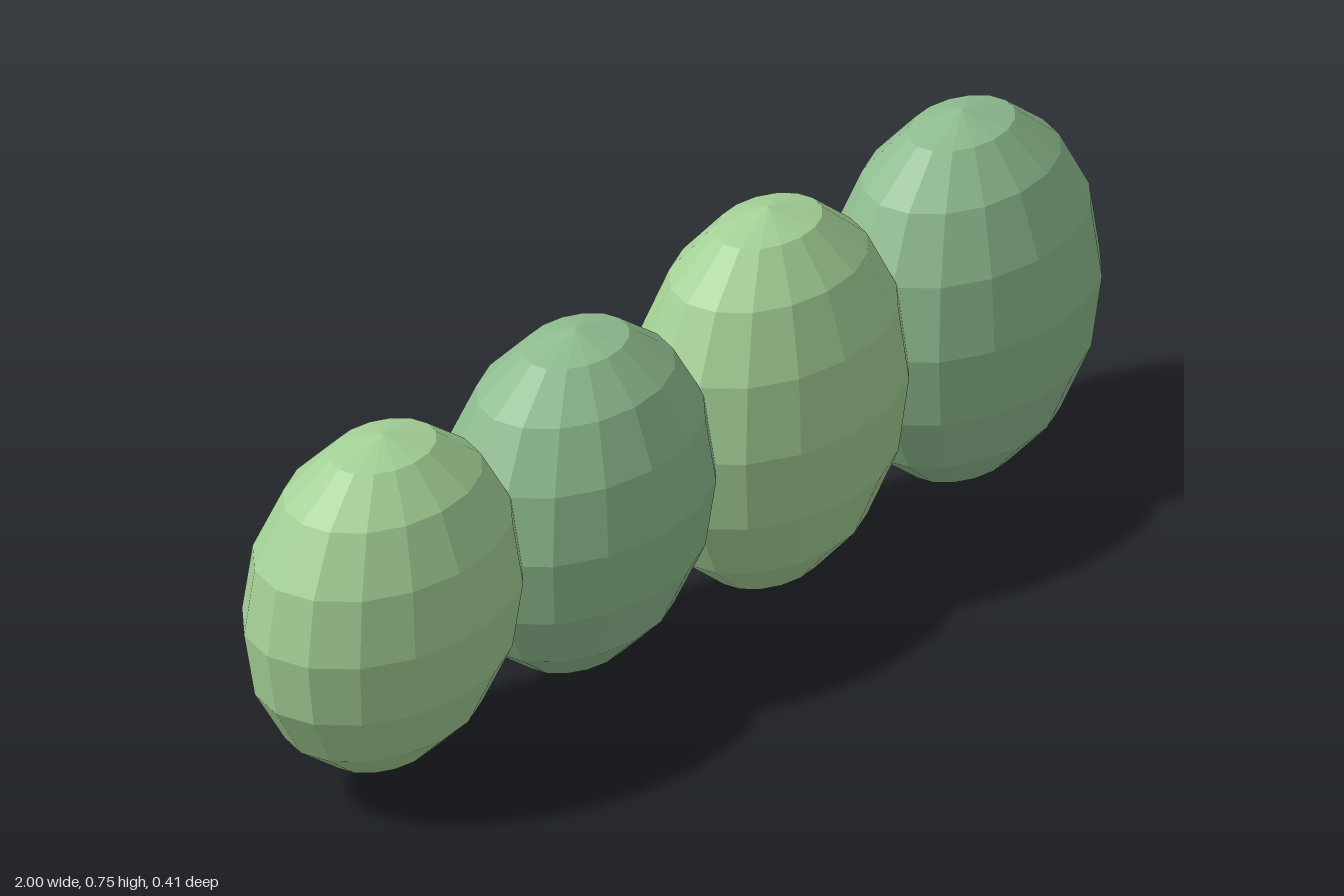
import * as THREE from 'three';

export function createModel() {
  const group = new THREE.Group();
  group.name = 'segmentedBody';

  const light = new THREE.MeshStandardMaterial({ color: 0xa4d096, flatShading: true });
  const dark = new THREE.MeshStandardMaterial({ color: 0x8fbc8f, flatShading: true });

  // One faceted ball, stretched into each overlapping body segment
  const ball = new THREE.SphereGeometry(1, 16, 8);
  const radiusX = 0.285, radiusZ = 0.205, spacing = 0.4767, centerY = 0.377;
  const halfHeights = [0.331, 0.337, 0.377, 0.367];

  halfHeights.forEach((halfHeight, i) => {
    const segment = new THREE.Mesh(ball, i % 2 ? dark : light);
    segment.name = `bodySegment${i + 1}`;
    segment.position.set((i - 1.5) * spacing, centerY, 0);
    segment.scale.set(radiusX, halfHeight, radiusZ);
    group.add(segment);
  });

  return group;
}
